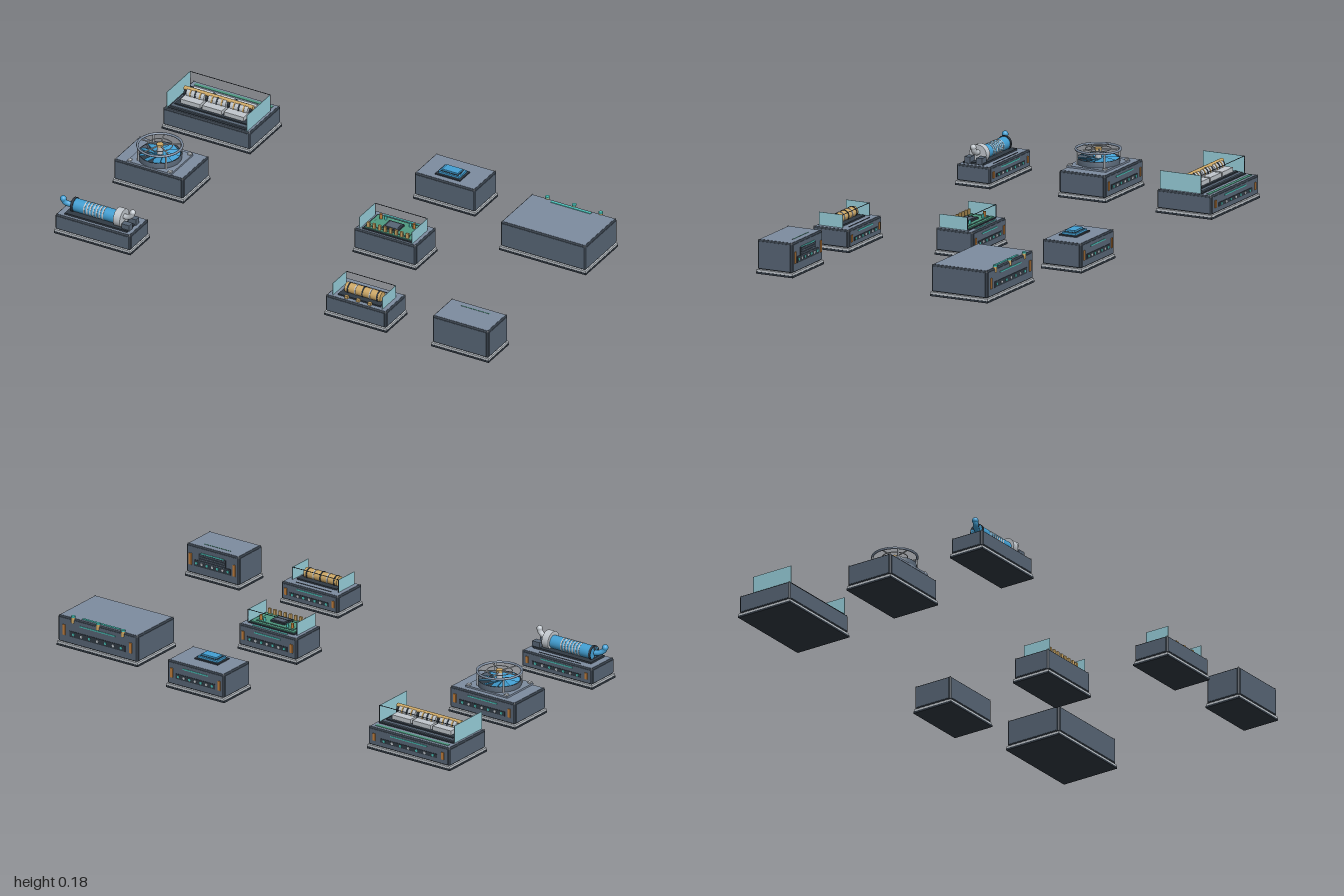
import * as THREE from 'three';
import { RoundedBoxGeometry } from 'three/addons/geometries/RoundedBoxGeometry.js';

const mat = (name, color, side = THREE.FrontSide) => {
  const m = new THREE.MeshStandardMaterial({ color, side });
  m.name = name;
  return m;
};

export function createModel() {
  const M = {
    shell: mat('slate shell', 0x586676),
    lid: mat('light slate lid', 0x7d8ca0),
    dark: mat('dark trim', 0x313a44),
    steel: mat('light steel', 0xc2c8ce),
    gold: mat('brass', 0xcda866),
    copper: mat('copper', 0xc27f3c),
    blue: mat('blue', 0x43a0d4),
    teal: mat('teal light', 0x4cc4bb),
    green: mat('circuit green', 0x4f9a82),
    glass: mat('pale glass', 0x98d0dc, THREE.DoubleSide),
  };
  const root = new THREE.Group();
  root.name = 'equipmentSet';

  const add = (g, name, geo, m, x = 0, y = 0, z = 0) => {
    const mesh = new THREE.Mesh(geo, m);
    mesh.name = name;
    mesh.position.set(x, y, z);
    g.add(mesh);
    return mesh;
  };
  const box = (g, name, m, w, h, d, x, y, z) =>
    add(g, name, new THREE.BoxGeometry(w, h, d), m, x, y, z);
  const cyl = (g, name, m, r, len, x, y, z, axis = 'y', n = 24) => {
    const geo = new THREE.CylinderGeometry(r, r, len, n);
    if (axis === 'x') geo.rotateZ(Math.PI / 2);
    if (axis === 'z') geo.rotateX(Math.PI / 2);
    return add(g, name, geo, m, x, y, z);
  };
  const tube = (g, name, m, r, pts) =>
    add(g, name, new THREE.TubeGeometry(
      new THREE.CatmullRomCurve3(pts.map(p => new THREE.Vector3(...p))), 16, r, 10), m);

  // Shared cabinet: plinth, dark frame, inset panels, lid and rear sockets
  const cabinet = (name, x, z, w, d, h) => {
    const g = new THREE.Group();
    g.name = name;
    g.position.set(x, 0, z);
    root.add(g);
    box(g, 'plinthFoot', M.dark, w, 0.008, d, 0, 0.004, 0);
    box(g, 'plinth', M.steel, w - 0.003, 0.009, d - 0.003, 0, 0.0125, 0);
    const bw = w - 0.008, bd = d - 0.008, bh = h - 0.019, my = 0.018 + bh / 2;
    add(g, 'frame', new RoundedBoxGeometry(bw, bh, bd, 2, 0.006), M.dark, 0, my, 0);
    box(g, 'lid', M.lid, bw - 0.013, 0.004, bd - 0.013, 0, h - 0.002, 0);
    for (const s of [-1, 1]) {
      box(g, 'sidePanel', M.shell, 0.004, bh - 0.012, bd - 0.016, s * (bw / 2 - 0.0005), my, 0);
      box(g, 'wallPanel', M.shell, bw - 0.016, bh - 0.012, 0.004, 0, my, s * (bd / 2 - 0.0005));
      for (const t of [-1, 1])
        box(g, 'cornerBolt', M.steel, 0.004, 0.003, 0.004, s * (bw / 2 - 0.004), h - 0.001, t * (bd / 2 - 0.004));
    }
    const back = -bd / 2 - 0.001;
    box(g, 'rearSocketStrip', M.dark, bw * 0.7, bh * 0.22, 0.005, 0, 0.018 + bh * 0.4, back);
    box(g, 'rearLight', M.teal, bw * 0.45, 0.005, 0.005, 0, 0.018 + bh * 0.78, back);
    [M.teal, M.steel, M.teal, M.steel, M.teal, M.steel, M.teal].forEach((m, i) =>
      cyl(g, 'rearPort', m, 0.0055, 0.007, (i - 3) * bw * 0.1, 0.018 + bh * 0.4, back - 0.001, 'z', 12));
    for (const s of [-1, 1])
      box(g, 'rearTerminal', M.copper, 0.012, bh * 0.4, 0.006, s * bw * 0.42, 0.018 + bh * 0.5, back - 0.001);
    return g;
  };

  // Open guard: side panes joined by a thin rear rail
  const guard = (g, w, y0, y1, z0, z1) => {
    for (const s of [-1, 1]) {
      box(g, 'sidePane', M.glass, 0.002, y1 - y0, z1 - z0, s * w / 2, (y0 + y1) / 2, (z0 + z1) / 2);
      box(g, 'guardPost', M.dark, 0.002, y1 - y0, 0.002, s * w / 2, (y0 + y1) / 2, z0);
    }
    box(g, 'guardRail', M.dark, w, 0.002, 0.002, 0, y1, z0);
  };

  // Three-section rotor machine
  const a = cabinet('rotorMachine', -0.8, -0.459, 0.4, 0.248, 0.094);
  box(a, 'rotorDeck', M.dark, 0.358, 0.006, 0.185, 0, 0.095, 0.02);
  box(a, 'rotorTray', M.shell, 0.342, 0.008, 0.165, 0, 0.099, 0.02);
  box(a, 'rotorBed', M.dark, 0.322, 0.008, 0.135, 0, 0.104, 0.02);
  for (const i of [-1, 0, 1]) {
    const x = i * 0.098;
    box(a, 'rotorCradle', M.steel, 0.088, 0.02, 0.112, x, 0.116, 0.02);
    cyl(a, 'rotorDrum', M.steel, 0.021, 0.08, x, 0.129, 0.02, 'x');
    for (const k of [-1, 0, 1])
      cyl(a, 'rotorWinding', k ? M.gold : M.dark, 0.023, 0.006, x + k * 0.022, 0.129, 0.02, 'x');
  }
  for (const x of [-0.147, -0.049, 0.049, 0.147])
    cyl(a, 'rotorCollar', M.dark, 0.017, 0.008, x, 0.129, 0.02, 'x');
  cyl(a, 'rotorShaft', M.gold, 0.009, 0.31, 0, 0.145, 0.02, 'x');
  box(a, 'rearTopPanel', M.green, 0.35, 0.003, 0.014, 0, 0.0945, -0.095);
  guard(a, 0.36, 0.094, 0.167, -0.066, 0.116);

  // Fan in a low housing under a spoked cage
  const b = cabinet('fanUnit', -0.8, 0.014, 0.32, 0.212, 0.107);
  const fan = new THREE.Group();
  fan.name = 'fan';
  fan.position.set(0, 0, 0.012);
  b.add(fan);
  box(fan, 'fanDeck', M.lid, 0.2, 0.008, 0.174, 0, 0.11, 0);
  cyl(fan, 'fanWell', M.dark, 0.084, 0.006, 0, 0.116, 0, 'y', 32);
  add(fan, 'fanHousing', new THREE.LatheGeometry(
    [[0.086, 0.113], [0.086, 0.136], [0.081, 0.136], [0.081, 0.113]].map(p => new THREE.Vector2(...p)), 32), M.shell);
  cyl(fan, 'fanPost', M.steel, 0.012, 0.055, 0, 0.143, 0);
  for (let i = 0; i < 10; i++) {
    const p = new THREE.Group();
    p.name = 'fanSector';
    p.rotation.y = i * Math.PI / 5;
    fan.add(p);
    box(p, 'fanBlade', M.blue, 0.07, 0.003, 0.036, 0.046, 0.13, 0).rotation.x = 0.35;
    if (i % 2) box(p, 'cageSpoke', M.steel, 0.08, 0.004, 0.004, 0.042, 0.171, 0);
  }
  const ring = (r, t, m) =>
    add(fan, 'cageRing', new THREE.TorusGeometry(r, t, 8, 40).rotateX(Math.PI / 2), m, 0, 0.171, 0);
  ring(0.088, 0.005, M.lid);
  ring(0.05, 0.002, M.steel);
  cyl(fan, 'fanHub', M.gold, 0.014, 0.01, 0, 0.171, 0);
  for (const sx of [-1, 1]) for (const sz of [-1, 1]) {
    cyl(fan, 'cagePost', M.steel, 0.004, 0.06, sx * 0.063, 0.142, sz * 0.061, 'y', 10);
    box(fan, 'cageFoot', M.steel, 0.014, 0.008, 0.014, sx * 0.09, 0.116, sz * 0.078);
  }

  // Pressure cylinder with a blue inlet and a raised steel outlet
  const c = cabinet('pressureUnit', -0.796, 0.488, 0.345, 0.155, 0.085);
  box(c, 'cylinderBed', M.dark, 0.28, 0.01, 0.09, 0.005, 0.087, 0.012);
  cyl(c, 'pressureCylinder', M.blue, 0.027, 0.2, -0.02, 0.113, 0.012, 'x', 32);
  for (let i = 0; i < 7; i++)
    cyl(c, 'cylinderBand', M.steel, 0.028, 0.006, -0.06 + i * 0.014, 0.113, 0.012, 'x', 32);
  cyl(c, 'frontCollar', M.dark, 0.03, 0.01, -0.115, 0.113, 0.012, 'x', 32);
  cyl(c, 'endCollar', M.steel, 0.038, 0.03, 0.093, 0.117, 0.012, 'x', 32);
  for (const z of [-0.017, 0.036])
    box(c, 'valveBlock', M.shell, 0.035, 0.026, 0.026, 0.133, 0.1, z);
  tube(c, 'outletPipe', M.steel, 0.011,
    [[0.1, 0.125, 0.012], [0.125, 0.127, 0.012], [0.14, 0.138, 0.012], [0.145, 0.152, 0.012]]);
  add(c, 'outletCap', new THREE.SphereGeometry(0.012, 16, 12), M.steel, 0.145, 0.153, 0.012);
  tube(c, 'inletPipe', M.blue, 0.011,
    [[-0.115, 0.113, 0.014], [-0.135, 0.115, 0.022], [-0.15, 0.124, 0.03], [-0.156, 0.138, 0.032]]);
  add(c, 'inletCap', new THREE.SphereGeometry(0.013, 16, 12), M.blue, -0.156, 0.138, 0.032);
  box(c, 'topStrip', M.dark, 0.2, 0.003, 0.004, 0, 0.085, -0.053);

  // Cooler block cabinet
  const d = cabinet('coolerUnit', 0.258, -0.45, 0.28, 0.18, 0.117);
  box(d, 'coolerFrame', M.dark, 0.112, 0.006, 0.078, -0.003, 0.119, 0.018);
  box(d, 'coolerBlock', M.blue, 0.094, 0.01, 0.06, -0.003, 0.125, 0.018);
  box(d, 'coolerGroove', M.dark, 0.08, 0.003, 0.048, -0.003, 0.1295, 0.018);
  box(d, 'coolerCap', M.blue, 0.07, 0.01, 0.04, -0.003, 0.133, 0.018);

  // Circuit board cabinet
  const e = cabinet('circuitUnit', 0.258, 0.025, 0.285, 0.17, 0.107);
  box(e, 'boardTray', M.dark, 0.222, 0.005, 0.122, 0.002, 0.108, 0.007);
  box(e, 'circuitBoard', M.green, 0.208, 0.006, 0.108, 0.002, 0.112, 0.007);
  box(e, 'boardTrim', M.dark, 0.178, 0.002, 0.084, 0, 0.115, 0.007);
  box(e, 'boardCentre', M.green, 0.174, 0.003, 0.08, 0, 0.116, 0.007);
  box(e, 'chip', M.dark, 0.068, 0.009, 0.056, 0, 0.12, 0.012);
  box(e, 'chipCap', M.shell, 0.05, 0.004, 0.038, 0, 0.124, 0.012);
  for (let i = 0; i < 8; i++)
    box(e, 'boardContact', M.gold, 0.012, 0.024, 0.008, (i - 3.5) * 0.025, 0.125, 0.055);
  for (const s of [-1, 1]) {
    cyl(e, 'boardCoil', M.copper, 0.006, 0.022, s * 0.075, 0.127, -0.02, 'y', 14);
    cyl(e, 'capacitor', M.teal, 0.005, 0.018, s * 0.055, 0.124, -0.024, 'y', 14);
  }
  box(e, 'boardLight', M.teal, 0.17, 0.004, 0.006, 0, 0.107, -0.065);
  guard(e, 0.236, 0.107, 0.16, -0.048, 0.075);

  // Small coil cabinet
  const f = cabinet('coilUnit', 0.398, 0.498, 0.28, 0.166, 0.09);
  box(f, 'coilTray', M.dark, 0.19, 0.008, 0.085, 0.002, 0.092, 0.013);
  cyl(f, 'coilCore', M.gold, 0.021, 0.16, 0.002, 0.11, 0.013, 'x');
  for (let i = 0; i < 5; i++)
    cyl(f, 'coilRing', i % 2 ? M.steel : M.dark, 0.023, 0.005, 0.002 + (i - 2) * 0.033, 0.11, 0.013, 'x');
  for (const i of [-1, 0, 1])
    box(f, 'coilTerminal', M.gold, 0.014, 0.012, 0.012, i * 0.052, 0.095, 0.06);
  box(f, 'topStrip', M.dark, 0.17, 0.003, 0.004, 0, 0.09, -0.053);
  guard(f, 0.222, 0.09, 0.143, -0.04, 0.065);

  // Large plain cabinet with rear pipe stubs
  const g = cabinet('storageCabinet', 0.8, -0.315, 0.39, 0.255, 0.128);
  box(g, 'topLight', M.teal, 0.18, 0.005, 0.01, -0.005, 0.128, -0.105);
  for (const x of [-0.12, 0, 0.12]) {
    cyl(g, 'rearStub', M.gold, 0.008, 0.022, x, 0.121, -0.121, 'y', 12);
    cyl(g, 'rearStubCap', M.teal, 0.009, 0.006, x, 0.135, -0.121, 'y', 12);
  }

  // Small plain cabinet with rear vents
  const h = cabinet('compactCabinet', 0.868, 0.5, 0.26, 0.162, 0.138);
  box(h, 'topLight', M.green, 0.13, 0.002, 0.003, 0, 0.1382, -0.045);
  box(h, 'rearVent', M.dark, 0.13, 0.04, 0.005, 0, 0.09, -0.078);
  for (let i = 0; i < 4; i++)
    box(h, 'ventSlat', M.shell, 0.12, 0.003, 0.004, 0, 0.076 + i * 0.0095, -0.08);

  return root;
}
